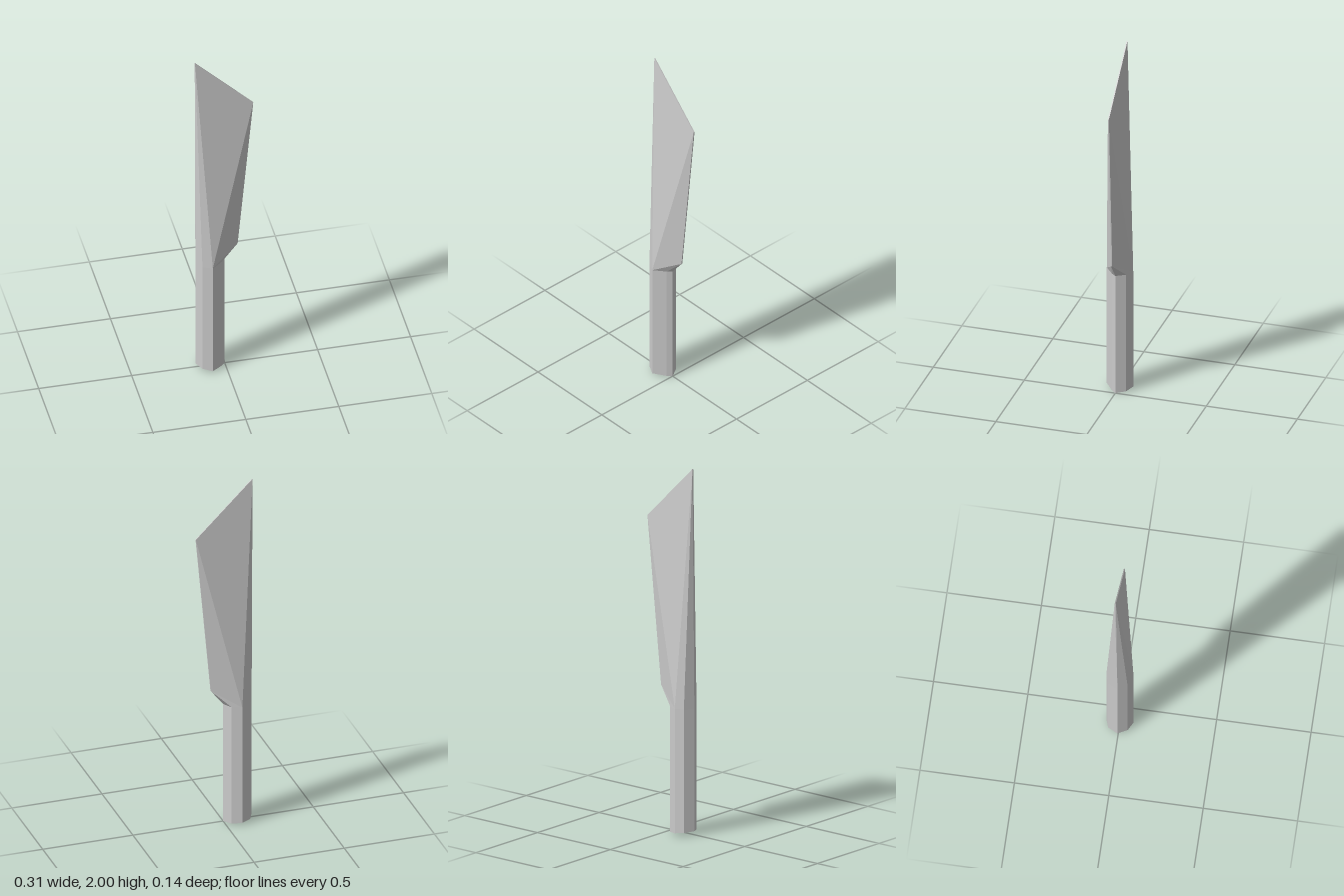
import * as THREE from 'three';

const material = new THREE.MeshStandardMaterial({ color: 0xcccccc, flatShading: true });

// Handle section, one side each, from the spine to the cutting edge: [x, z]
const SPINE = [-0.157, -0.003];
const EDGE = [0, 0];
const FRONT = [[-0.13, 0.047], [-0.08, 0.072], [-0.02, 0.024]];
const BACK = [[-0.13, -0.056], [-0.082, -0.073], [-0.03, -0.05]];
const TOP = 0.69;

// Mesh from a list of triangles given as corner points
function facets(name, triangles) {
  const geometry = new THREE.BufferGeometry();
  geometry.setAttribute('position', new THREE.Float32BufferAttribute(triangles.flat(2), 3));
  geometry.computeVertexNormals();
  const mesh = new THREE.Mesh(geometry, material);
  mesh.name = name;
  return mesh;
}

const at = ([x, z], y) => [x, y, z];

// Eight-sided grip with a slightly slanted butt
function handle() {
  const ring = [SPINE, ...FRONT, EDGE, ...[...BACK].reverse()];
  const low = ring.map((p) => at(p, Math.max(0, -p[0] * 0.13)));
  const high = ring.map((p) => at(p, TOP));
  const butt = [-0.08, 0.01, 0];
  const triangles = [];
  ring.forEach((_, i) => {
    const j = (i + 1) % ring.length;
    triangles.push([low[i], low[j], high[j]], [low[i], high[j], high[i]], [butt, low[j], low[i]]);
  });
  return facets('handle', triangles);
}

// Blade tapering from the handle section to a thin slanted top
function blade() {
  const spine = at(SPINE, TOP);
  const heel = at(EDGE, TOP);
  const outline = (s) => [
    [-0.157, 2, -0.015 + s * 0.003], // tip
    [0.156, 1.69, -0.011 + s * 0.003], // upper corner
    [0.07, 0.78, -0.002 + s * 0.003], // belly
  ];
  const triangles = [];
  for (const s of [1, -1]) {
    const [a, b, c] = (s > 0 ? FRONT : BACK).map((p) => at(p, TOP));
    const [tip, corner, belly] = outline(s);
    const side = [
      [spine, a, tip], [a, b, tip], [b, corner, tip],
      [b, belly, corner], [b, c, belly], [c, heel, belly],
    ];
    triangles.push(...side.map((t) => (s > 0 ? t : [...t].reverse())));
  }
  // Narrow strip closing the two sides along the outline
  const f = [spine, ...outline(1), heel];
  const k = [spine, ...outline(-1), heel];
  for (let i = 0; i < 4; i++) {
    if (i < 3) triangles.push([f[i], f[i + 1], k[i + 1]]);
    if (i > 0) triangles.push([f[i], f[i + 1], k[i]]);
    if (i > 0 && i < 3) {
      triangles.splice(-2, 2, [f[i], f[i + 1], k[i + 1]], [f[i], k[i + 1], k[i]]);
    }
  }
  return facets('blade', triangles);
}

export function createModel() {
  const group = new THREE.Group();
  group.name = 'knife';
  group.add(handle(), blade());
  return group;
}
